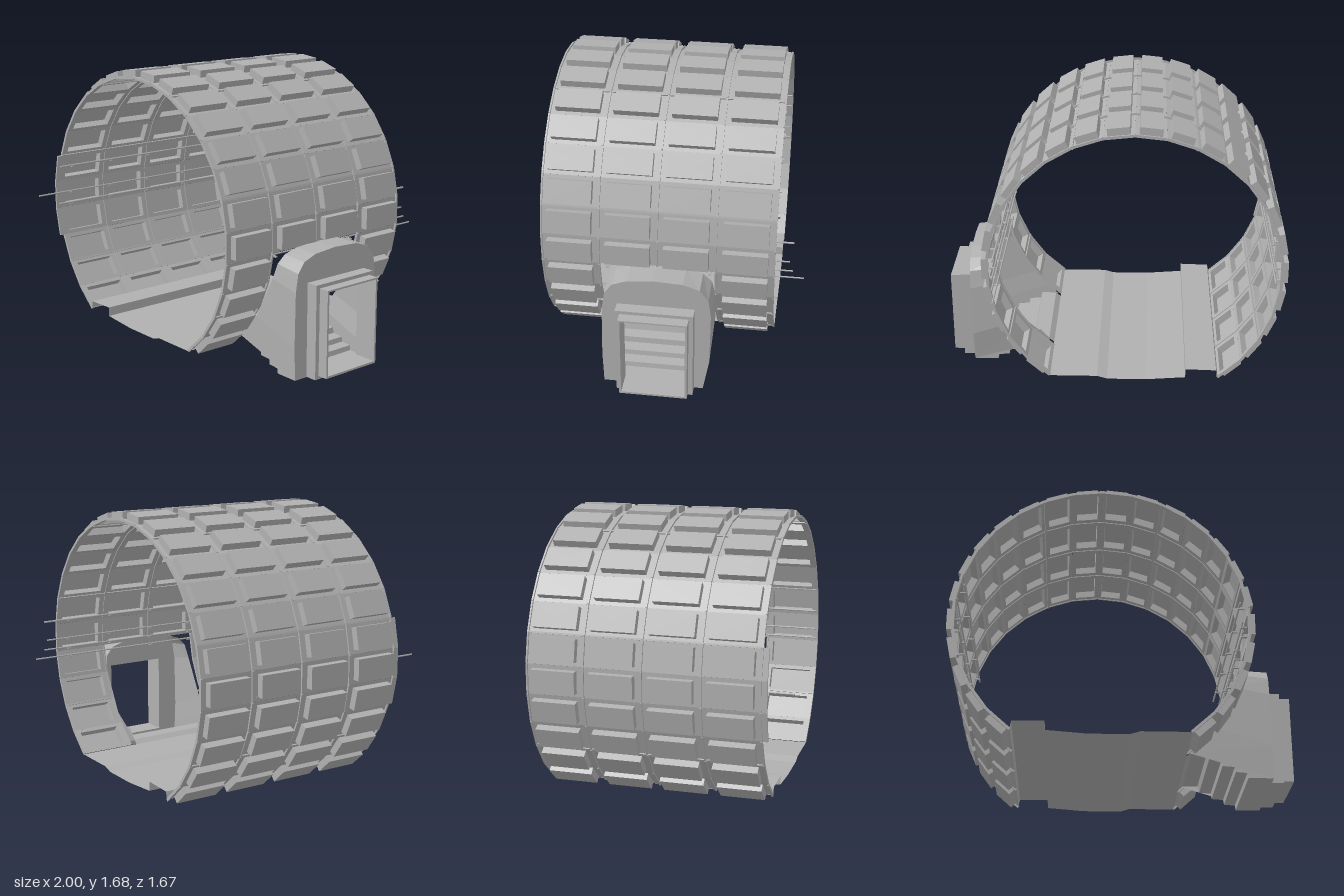
import * as THREE from 'three';
import { mergeGeometries } from 'three/addons/utils/BufferGeometryUtils.js';

const CX = -0.125, CY = 0.81, R = 0.835, STEP = Math.PI / 15, CELLS = 24, COL = 0.335;
const START = -0.3 * Math.PI; // lowest right edge of the lining

export function createModel() {
  const group = new THREE.Group();
  const concrete = new THREE.MeshStandardMaterial({ color: 0xb0b0b0, side: THREE.DoubleSide });
  const add = (name, geometry) => {
    const mesh = new THREE.Mesh(geometry, concrete);
    mesh.name = name;
    group.add(mesh);
    return mesh;
  };

  // Flat-shaded surface through rows of [x, y, z] points
  const surface = (rows, closed = false) => {
    const out = [];
    for (let i = 0; i + 1 < rows.length; i++) {
      const n = rows[i].length;
      for (let j = 0; j < (closed ? n : n - 1); j++) {
        const k = (j + 1) % n;
        const [a, b, c, d] = [rows[i][j], rows[i][k], rows[i + 1][k], rows[i + 1][j]];
        out.push(...a, ...b, ...c, ...a, ...c, ...d);
      }
    }
    const g = new THREE.BufferGeometry();
    g.setAttribute('position', new THREE.Float32BufferAttribute(out, 3));
    g.computeVertexNormals();
    return g;
  };
  const box = (w, h, d, x, y, z) => new THREE.BoxGeometry(w, h, d).translate(x, y, z);
  // Local +y becomes the outward direction of the ring
  const onRing = (g, angle) => g.rotateZ(angle - Math.PI / 2).translate(CX, CY, 0);

  // Coffer cell: flat border, raised sides and cap, open toward the inside
  const chord = R * Math.sin(STEP / 2);
  const rect = (t, z, h, zc) => [[-t, h, zc + z], [t, h, zc + z], [t, h, zc - z], [-t, h, zc - z]];
  const coffer = (zc) => surface([
    rect(chord, COL / 2, R - 0.004, zc), rect(0.064, 0.129, R - 0.004, zc),
    rect(0.064, 0.129, 0.874, zc), rect(0, 0, 0.874, zc),
  ], true);

  const coffers = [], ribs = [];
  for (let i = 0; i < CELLS; i++) {
    const angle = START + (i + 0.5) * STEP;
    const atDoor = i < 4;
    for (let c = 0; c < 4; c++) {
      if (atDoor && (c === 1 || c === 2)) continue;
      coffers.push(onRing(coffer((c - 1.5) * COL), angle));
    }
    // Thin ring ribs between the columns and at both ends
    for (let c = 0; c < 5; c++) {
      if (atDoor && c === 2) continue;
      const inset = c === 0 ? 0.005 : c === 4 ? -0.005 : 0;
      ribs.push(onRing(box(chord * 2, 0.016, 0.01, 0, R - 0.001, (c - 2) * COL + inset), angle));
    }
  }
  add('liningPanels', mergeGeometries(coffers));
  add('ringRibs', mergeGeometries(ribs));

  // Lengthwise joints between the lining segments
  const joints = [];
  for (let s = 0; s < 6; s++) {
    const angle = START + (2 + s * 4) * STEP;
    const spans = s === 0 ? [[-0.67, -0.335], [0.335, 0.67]] : [[-0.67, 0.67]];
    for (const [a, b] of spans)
      joints.push(onRing(box(0.01, 0.016, b - a, 0, R, (a + b) / 2), angle));
  }
  add('segmentJoints', mergeGeometries(joints));

  // Floor with a raised walkway and a shallow central channel
  const floor = [[-0.62, 0.135], [-0.61, 0.18], [-0.43, 0.185], [-0.43, 0.13], [-0.2, 0.112],
    [0.03, 0.112], [0.09, 0.13], [0.37, 0.13]];
  add('floor', surface([0.67, -0.67].map((z) => floor.map(([x, y]) => [x, y, z]))));

  // Side passage: arched throat from the lining to the portal
  const arch = [[0.295, 0.005], [0.302, 0.2], [0.297, 0.52], [0.28, 0.63], [0.235, 0.69], [0.15, 0.722],
    [0, 0.735], [-0.17, 0.727], [-0.265, 0.695], [-0.315, 0.63], [-0.33, 0.52], [-0.325, 0.2], [-0.29, 0.005]];
  const wallX = (y) => CX + Math.sqrt(R * R - (y - CY) ** 2);
  const inner = arch.map(([z, y]) => {
    const yy = 0.15 + (y - 0.005) * (0.585 / 0.73);
    return [wallX(yy), yy, z];
  });
  add('passageThroat', surface([inner, arch.map(([z, y]) => [0.865, y, z])]));

  // Passage steps and the cheeks that close their sides
  const steps = [[0.37, 0.13], [0.4, 0.155], [0.49, 0.155], [0.5, 0.115], [0.57, 0.11], [0.575, 0.075],
    [0.645, 0.07], [0.65, 0.04], [0.715, 0.035], [0.72, 0.005], [0.865, 0.005]];
  add('passageSteps', surface([0.295, -0.29].map((z) => steps.map(([x, y]) => [x, y, z]))));
  for (const z of [0.295, -0.29]) {
    const cheek = new THREE.Shape(steps.slice(1).concat([[0.865, 0.06], [0.45, 0.22]])
      .map(([x, y]) => new THREE.Vector2(x, y)));
    add('stepCheek', new THREE.ShapeGeometry(cheek).translate(0, 0, z));
  }

  // Portal plates: outline in (z, y) with a rectangular hole, extruded along x
  const plate = (outline, hole, x, depth) => {
    const points = (list) => list.map(([z, y]) => new THREE.Vector2(-z, y));
    const shape = new THREE.Shape(points(outline));
    shape.holes.push(new THREE.Path(points(hole)));
    return new THREE.ExtrudeGeometry(shape, { depth, bevelEnabled: false })
      .rotateY(Math.PI / 2).translate(x, 0, 0);
  };
  const quad = (z0, z1, y0, y1) => [[z0, y0], [z1, y0], [z1, y1], [z0, y1]];
  const opening = quad(0.17, -0.2, 0.04, 0.535);
  add('portalFace', plate(arch, opening, 0.853, 0.012));
  add('portalFrame', plate(quad(0.208, -0.238, 0.008, 0.565), opening, 0.865, 0.072));
  add('portalSleeve', plate(quad(0.182, -0.212, 0.028, 0.545), opening, 0.937, 0.063));

  // Service rods along the walls: [x, y, back z, front z, radius]
  const rods = [
    [-0.925, 0.83, -0.66, 0.84, 0.005], [-0.905, 1.0, -0.66, 0.69, 0.006], [-0.93, 0.755, -0.66, 0.69, 0.006],
    [0.665, 0.93, -0.77, 0.66, 0.006], [0.675, 0.81, -0.75, 0.66, 0.005],
    [0.675, 0.75, -0.77, 0.66, 0.005], [0.665, 0.7, -0.835, 0.31, 0.005],
  ];
  for (const [x, y, z0, z1, r] of rods) {
    add('serviceRod', new THREE.CylinderGeometry(r, r, z1 - z0, 6)
      .rotateX(Math.PI / 2).translate(x, y, (z0 + z1) / 2));
    const brackets = [];
    for (let z = -0.6; z < 0.65; z += 0.3)
      brackets.push(box(0.035, 0.008, 0.015, x + Math.sign(x) * 0.012, y - 0.008, Math.min(z, z1 - 0.02)));
    add('rodBrackets', mergeGeometries(brackets));
  }

  // Narrow end strip on the front edge of the left wall
  const strip = [];
  for (let a = 168; a <= 192; a += 12)
    strip.push(onRing(box(chord * 2, 0.012, 0.03, 0, R - 0.006, 0.685), THREE.MathUtils.degToRad(a)));
  add('endStrip', mergeGeometries(strip));

  return group;
}
